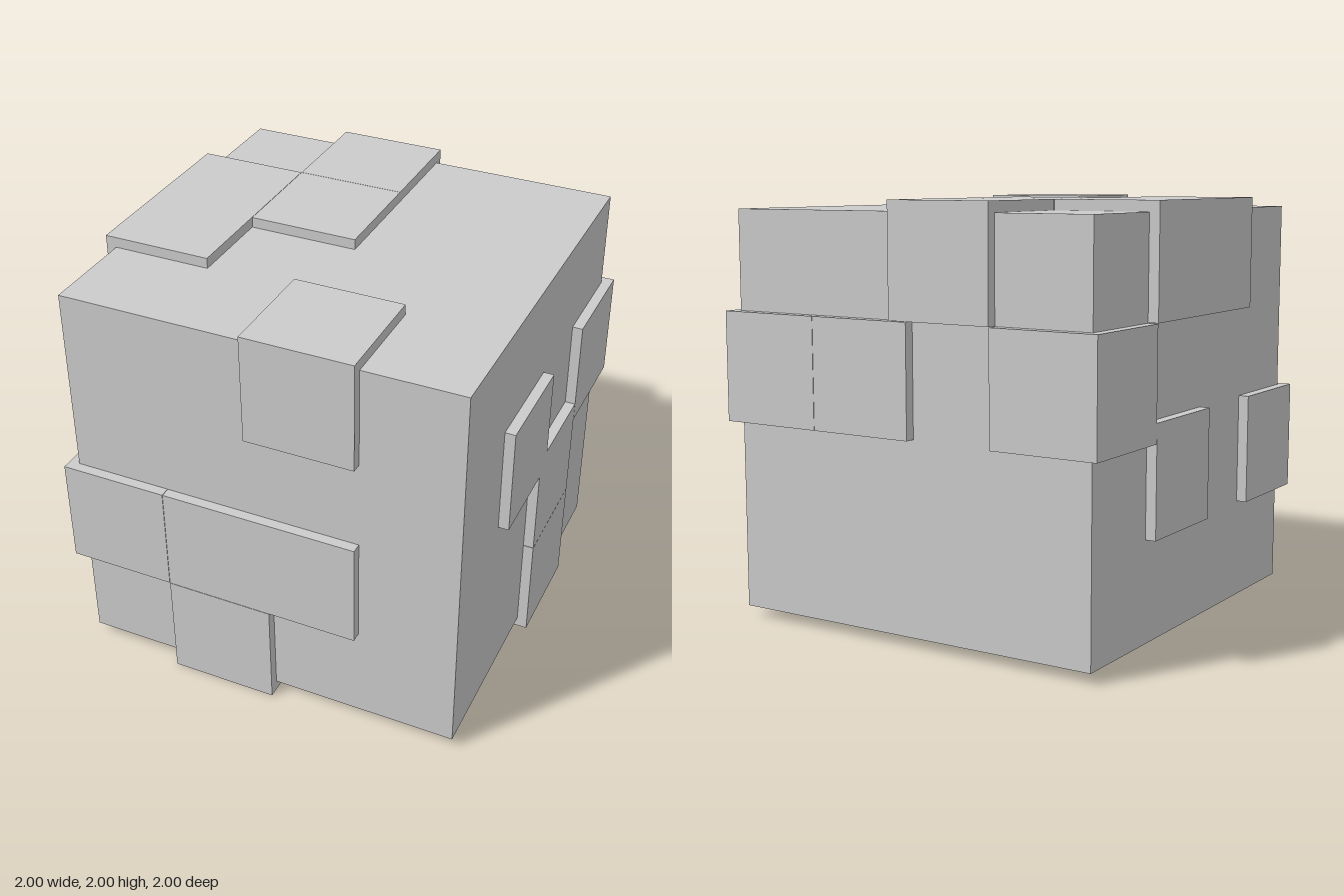
import * as THREE from 'three';

export function createModel() {
  const group = new THREE.Group();
  group.name = 'blockCube';
  const material = new THREE.MeshStandardMaterial({ color: 0xcccccc, flatShading: true });

  // Solid core
  const core = new THREE.Mesh(new THREE.BoxGeometry(1.9, 1.9, 1.9), material);
  core.name = 'core';
  core.position.y = 1;
  group.add(core);

  // Blocks sit on a 4 x 4 x 4 grid and stand slightly proud of the core
  const size = 0.522;
  const centres = [-0.739, -0.215, 0.215, 0.739];
  const cells = [
    // front layer: column, row, depth (0 = left / bottom / back in x, y, z)
    [0, 1, 3], [1, 1, 3], [2, 1, 3], [1, 0, 3], [2, 3, 3],
    // +x side
    [3, 2, 2], [3, 1, 1], [3, 0, 1], [3, 2, 0],
    // back
    [2, 2, 0], [1, 3, 0], [0, 2, 0],
    // top and -x side
    [1, 3, 1], [0, 3, 1], [0, 3, 2], [0, 1, 1],
    // underside
    [1, 0, 1],
  ];
  const blockGeometry = new THREE.BoxGeometry(size, size, size);
  cells.forEach(([i, j, k], n) => {
    const block = new THREE.Mesh(blockGeometry, material);
    block.name = `raisedBlock${n + 1}`;
    block.position.set(centres[i], 1 + centres[j], centres[k]);
    group.add(block);
  });

  return group;
}
